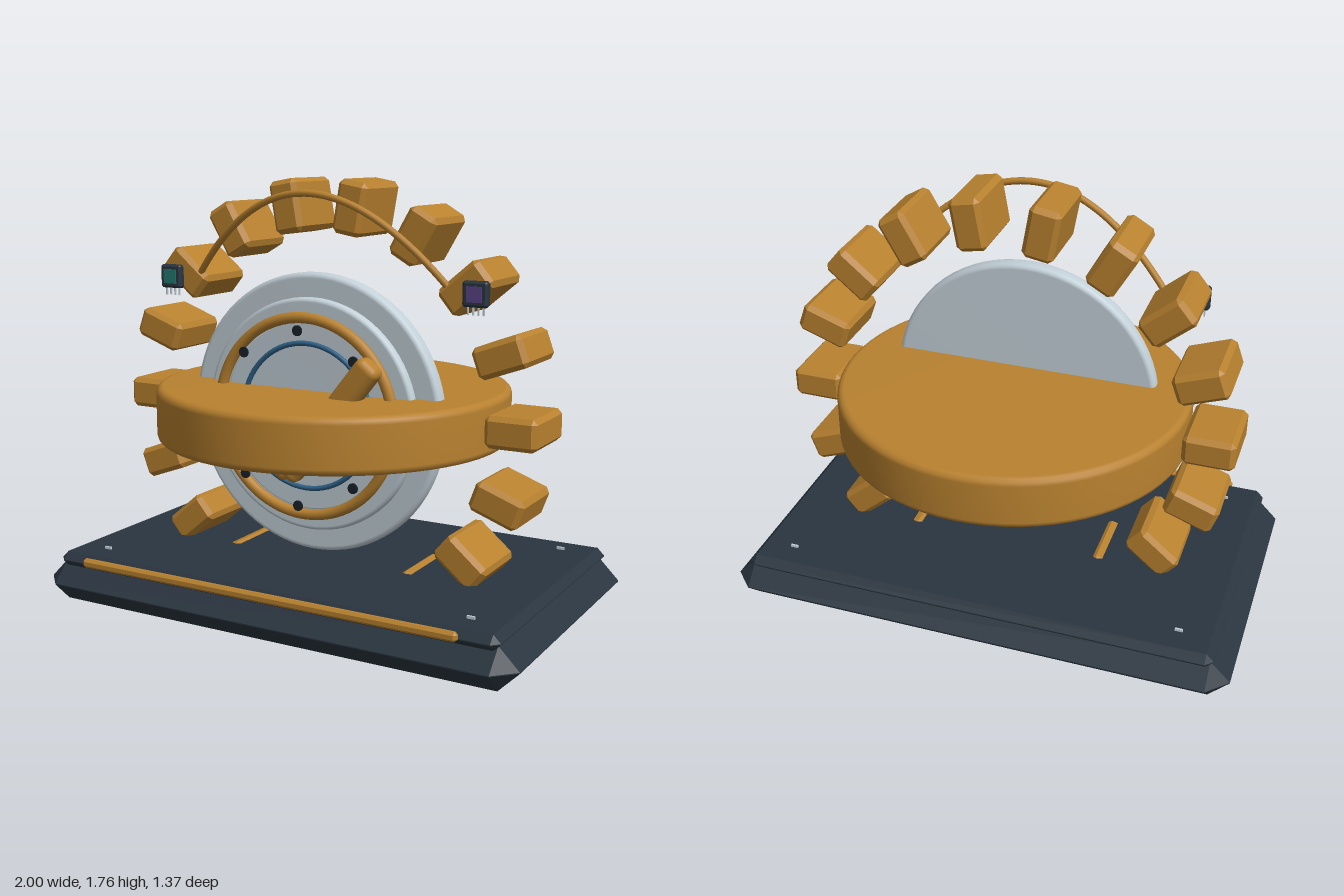
import * as THREE from 'three';
import { ConvexGeometry } from 'three/addons/geometries/ConvexGeometry.js';
import { RoundedBoxGeometry } from 'three/addons/geometries/RoundedBoxGeometry.js';

const paint = (color, flatShading = false) => new THREE.MeshStandardMaterial({ color, flatShading });
const GOLD = paint(0xb8812f), GOLD_FLAT = paint(0xb8812f, true), NAVY = paint(0x2a3540, true);
const SILVER = paint(0xc3d0d8), BLUE = paint(0x2f6288), DARK = paint(0x1a222c);
const TEAL = paint(0x237a70), PURPLE = paint(0x5a4488);
const HUB_Y = 0.89;

function add(parent, name, geometry, material, x = 0, y = 0, z = 0) {
  const mesh = new THREE.Mesh(geometry, material);
  mesh.name = name;
  mesh.position.set(x, y, z);
  parent.add(mesh);
  return mesh;
}

// Box with every edge cut by a single bevel
function chamferBox(w, h, d, b) {
  const half = [w / 2, h / 2, d / 2], points = [];
  for (const sx of [-1, 1]) for (const sy of [-1, 1]) for (const sz of [-1, 1]) {
    const sign = [sx, sy, sz];
    for (let full = 0; full < 3; full++) {
      const p = half.map((v, i) => sign[i] * (i === full ? v : v - b));
      if (!points.some(q => q.distanceTo(new THREE.Vector3(...p)) < 1e-6)) points.push(new THREE.Vector3(...p));
    }
  }
  return new ConvexGeometry(points);
}

// Solid disc about the y axis with softened rims
function roundDisc(radius, height, b) {
  const h = height / 2, profile = [new THREE.Vector2(0, -h)];
  for (const [start, y] of [[-Math.PI / 2, -h + b], [0, h - b]]) {
    for (let i = 0; i <= 3; i++) {
      const a = start + i * Math.PI / 6;
      profile.push(new THREE.Vector2(radius - b + b * Math.cos(a), y + b * Math.sin(a)));
    }
  }
  profile.push(new THREE.Vector2(0, h));
  return new THREE.LatheGeometry(profile, 72);
}

export function createModel() {
  const model = new THREE.Group();
  model.name = 'gearOnPlinth';

  // Plinth: wide bevelled slab, top plate, front strip and corner pins
  const plinth = new THREE.Group();
  plinth.name = 'plinth';
  model.add(plinth);
  add(plinth, 'slab', chamferBox(2, 0.16, 1.21, 0.078), NAVY, 0, 0.19, 0);
  add(plinth, 'topPlate', chamferBox(1.87, 0.06, 1.13, 0.028), NAVY, 0, 0.28, 0);
  add(plinth, 'frontStrip', chamferBox(1.59, 0.036, 0.03, 0.01), GOLD_FLAT, 0, 0.291, 0.575);
  for (const x of [-0.785, 0.785]) for (const z of [-0.445, 0.44]) {
    add(plinth, 'cornerPin', new THREE.BoxGeometry(0.03, 0.016, 0.008), SILVER, x, 0.312, z);
  }

  // Ring of gear teeth
  const teeth = new THREE.Group();
  teeth.name = 'gearTeeth';
  teeth.position.y = HUB_Y;
  model.add(teeth);
  const toothShape = chamferBox(0.2, 0.12, 0.28, 0.018);
  for (let i = 0; i < 18; i++) {
    const a = i * Math.PI / 9;
    const tooth = add(teeth, 'tooth', toothShape, GOLD_FLAT, 0.785 * Math.cos(a), 0.785 * Math.sin(a), 0);
    tooth.rotation.z = a;
  }

  // Large horizontal disc
  add(model, 'horizontalDisc', roundDisc(0.685, 0.21, 0.028), GOLD, 0, 0.885, 0);

  // Upright stepped dial with its rings
  const dial = new THREE.Group();
  dial.name = 'dial';
  dial.position.y = HUB_Y;
  model.add(dial);
  for (const [name, r, h, z, b] of [
    ['backPlate', 0.535, 0.066, 0.135, 0.02],
    ['middlePlate', 0.445, 0.06, 0.172, 0.016],
    ['facePlate', 0.36, 0.03, 0.195, 0.006],
  ]) add(dial, name, roundDisc(r, h, b).rotateX(Math.PI / 2), SILVER, 0, 0, z);
  add(dial, 'outerRing', new THREE.TorusGeometry(0.375, 0.021, 12, 72), GOLD, 0, 0, 0.23);
  add(dial, 'innerRing', new THREE.TorusGeometry(0.277, 0.01, 10, 72), BLUE, 0, 0, 0.214);

  // Studs around the dial
  const stud = new THREE.CylinderGeometry(0.02, 0.02, 0.007, 16).rotateX(Math.PI / 2);
  for (let i = 0; i < 8; i++) {
    const a = i * Math.PI / 4;
    add(dial, 'stud', stud, DARK, 0.332 * Math.cos(a), 0.332 * Math.sin(a), 0.275);
  }

  // Two bars meeting in a tick shape
  for (const [name, x0, y0, x1, y1] of [
    ['shortBar', -0.22, 0.86, -0.02, 0.68],
    ['longBar', -0.045, 0.67, 0.315, 1.125],
  ]) {
    const length = Math.hypot(x1 - x0, y1 - y0);
    const bar = add(model, name, new RoundedBoxGeometry(length, 0.1, 0.085, 3, 0.03), GOLD, (x0 + x1) / 2, (y0 + y1) / 2, 0.277);
    bar.rotation.z = Math.atan2(y1 - y0, x1 - x0);
  }

  // Arched wire between the two chips
  const arch = new THREE.QuadraticBezierCurve3(
    new THREE.Vector3(-0.53, 1.4, 0.125), new THREE.Vector3(0, 2.035, 0.305), new THREE.Vector3(0.53, 1.4, 0.125));
  add(model, 'archWire', new THREE.TubeGeometry(arch, 48, 0.013, 10), GOLD);

  // Chips with coloured faces and small legs
  for (const side of [-1, 1]) {
    const chip = new THREE.Group();
    chip.name = side < 0 ? 'rightChip' : 'leftChip';
    chip.position.set(side * 0.652, 1.38, 0.147);
    model.add(chip);
    add(chip, 'chipBody', chamferBox(0.096, 0.092, 0.036, 0.008), NAVY);
    add(chip, 'chipFace', new THREE.BoxGeometry(0.058, 0.056, 0.008), side < 0 ? TEAL : PURPLE, 0, 0, 0.018);
    for (let i = 0; i < 4; i++) {
      add(chip, 'chipLeg', new THREE.BoxGeometry(0.006, 0.034, 0.006), SILVER, -0.03 + i * 0.02, -0.058, 0);
    }
  }
  return model;
}
